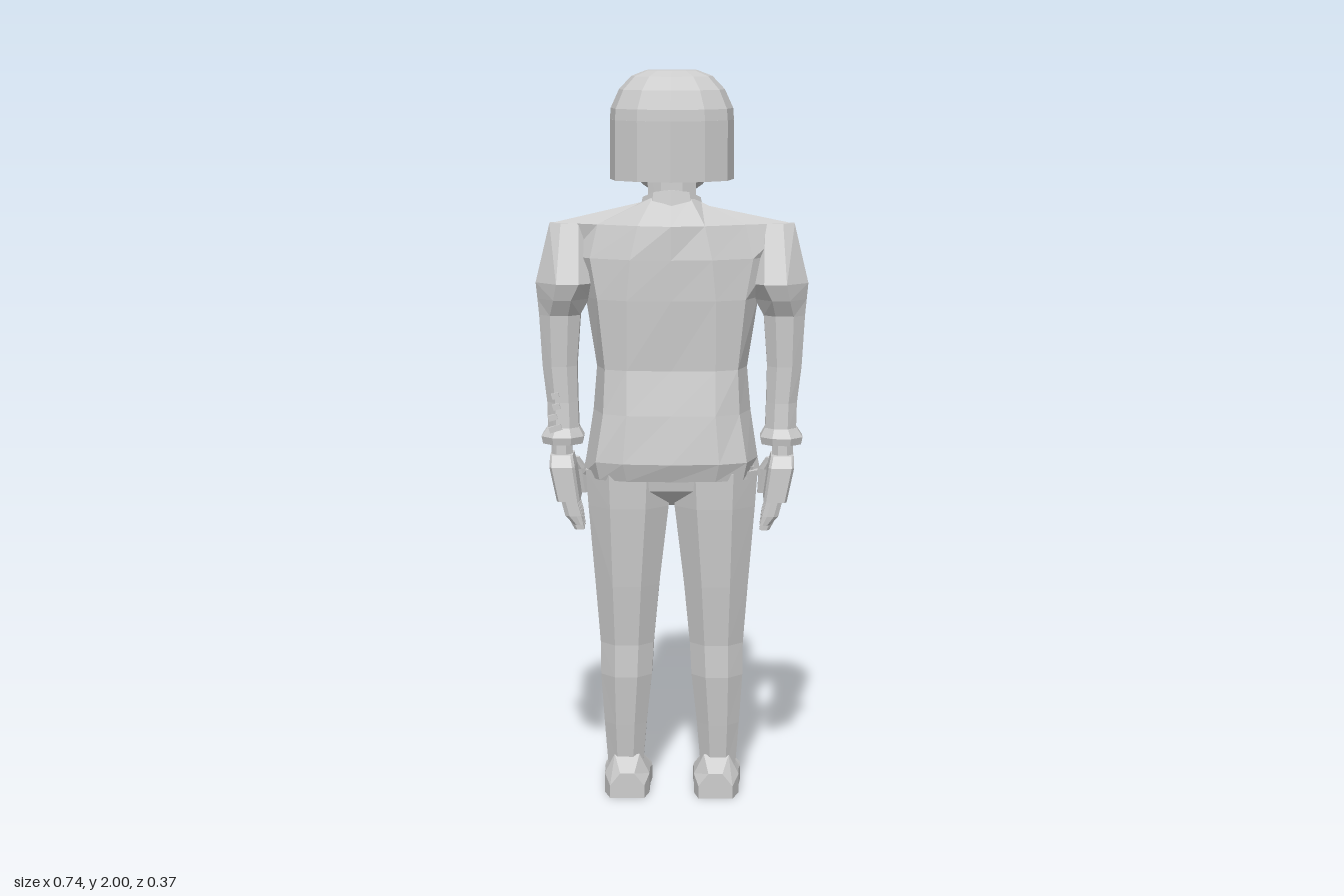
import * as THREE from 'three';

const grey = new THREE.MeshStandardMaterial({ color: 0xcccccc });
grey.name = 'matte grey';

// Skin a list of equal-length rings into a closed, faceted solid facing outward.
function loft(name, rings) {
  const P = rings.map(r => r.map(p => new THREE.Vector3(...p)));
  const tris = [], n = P[0].length;
  for (let i = 0; i < P.length - 1; i++) {
    for (let j = 0; j < n; j++) {
      const k = (j + 1) % n;
      const a = P[i][j], b = P[i][k], c = P[i + 1][k], d = P[i + 1][j];
      tris.push([a, b, c], [a, c, d]);
    }
  }
  for (const [ring, flip] of [[P[0], true], [P[P.length - 1], false]]) {
    const c = new THREE.Vector3();
    ring.forEach(p => c.addScaledVector(p, 1 / n));
    for (let j = 0; j < n; j++) {
      const a = ring[j], b = ring[(j + 1) % n];
      tris.push(flip ? [c, b, a] : [c, a, b]);
    }
  }
  let volume = 0;
  const cross = new THREE.Vector3();
  for (const [a, b, c] of tris) volume += a.dot(cross.crossVectors(b, c));
  if (volume < 0) tris.forEach(t => t.reverse());
  const g = new THREE.BufferGeometry().setFromPoints(tris.flat());
  g.computeVertexNormals();
  const mesh = new THREE.Mesh(g, grey);
  mesh.name = name;
  return mesh;
}

// Full ring from a half outline of [x, z] running back to front.
const around = half => [...half, ...half.slice(1, -1).reverse().map(([x, ...r]) => [-x, ...r])];
const level = (y, half) => around(half).map(([x, z]) => [x, y, z]);

// Chamfered rectangular ring at height y, mirrored by s.
function block(s, [y, x0, x1, z0, z1, k = 0.28]) {
  const cx = (x1 - x0) * k, cz = (z1 - z0) * k;
  return [[x0 + cx, z0], [x1 - cx, z0], [x1, z0 + cz], [x1, z1 - cz],
    [x1 - cx, z1], [x0 + cx, z1], [x0, z1 - cz], [x0, z0 + cz]].map(([x, z]) => [s * x, y, z]);
}
const blocks = (name, s, rows) => loft(name, rows.map(r => block(s, r)));

function makeTorso() {
  const g = new THREE.Group();
  g.name = 'jacket';
  g.add(loft('jacketBody', [
    level(0.90, [[0, 0.15], [0.12, 0.145], [0.195, 0.12], [0.245, 0.03], [0.2, -0.06], [0.11, -0.095], [0, -0.1]]),
    level(0.95, [[0, 0.17], [0.13, 0.16], [0.205, 0.128], [0.235, 0.03], [0.195, -0.065], [0.11, -0.105], [0, -0.112]]),
    level(1.08, [[0, 0.152], [0.12, 0.146], [0.185, 0.11], [0.215, 0.02], [0.18, -0.07], [0.1, -0.115], [0, -0.12]]),
    level(1.20, [[0, 0.13], [0.12, 0.126], [0.18, 0.1], [0.205, 0.02], [0.18, -0.07], [0.1, -0.112], [0, -0.117]]),
    level(1.39, [[0, 0.143], [0.12, 0.135], [0.2, 0.1], [0.235, 0.02], [0.2, -0.095], [0.1, -0.145], [0, -0.152]]),
    level(1.50, [[0, 0.145], [0.11, 0.135], [0.22, 0.085], [0.28, 0.02], [0.22, -0.065], [0.1, -0.115], [0, -0.125]]),
    level(1.59, [[0, 0.143], [0.09, 0.122], [0.2, 0.07], [0.325, 0.015], [0.2, -0.04], [0.09, -0.08], [0, -0.09]]),
    around([[0, 1.67, 0.1], [0.05, 1.665, 0.09], [0.08, 1.65, 0.06], [0.085, 1.64, 0.025],
      [0.08, 1.625, -0.01], [0.05, 1.615, -0.035], [0, 1.61, -0.045]]),
  ]));

  // Overlapping front panels
  const front = [[0.91, -0.1], [0.95, -0.112], [1.08, -0.12], [1.2, -0.117], [1.39, -0.152], [1.5, -0.125], [1.59, -0.09]];
  for (const [x0, x1] of [[-0.012, 0.055], [-0.05, -0.02]]) {
    g.add(loft('frontPanel', front.map(([y, z]) =>
      [[x0, y, z - 0.005], [x1, y, z - 0.003], [x1, y, z + 0.01], [x0, y, z + 0.01]])));
  }

  // Standing collar, higher at the back
  const collar = (rx, dy) => Array.from({ length: 10 }, (_, i) => {
    const a = i * Math.PI / 5, c = Math.cos(a);
    return [Math.sin(a) * rx, 1.635 + dy + c * 0.032, 0.03 + c * rx * 0.92];
  });
  g.add(loft('collar', [collar(0.092, -0.025), collar(0.082, 0.018), collar(0.07, 0.018), collar(0.07, -0.02)]));
  return g;
}

function makeArm(s) {
  const g = new THREE.Group();
  g.name = s > 0 ? 'leftArm' : 'rightArm';
  g.add(blocks('sleeve', s, [
    [1.59, 0.22, 0.332, -0.012, 0.045],
    [1.43, 0.19, 0.37, -0.085, 0.1, 0.33],
    [1.385, 0.225, 0.366, -0.075, 0.085, 0.33],
    [1.34, 0.25, 0.362, -0.048, 0.058],
    [1.2, 0.26, 0.354, -0.042, 0.05],
    [1.1, 0.258, 0.342, -0.038, 0.05],
    [1.02, 0.255, 0.34, -0.04, 0.055],
  ]));
  g.add(blocks('cuff', s, [
    [1.03, 0.255, 0.342, -0.04, 0.056],
    [1.005, 0.242, 0.358, -0.055, 0.068],
    [0.985, 0.246, 0.354, -0.05, 0.064],
  ]));
  g.add(blocks('wrist', s, [[1.0, 0.275, 0.332, -0.025, 0.04], [0.94, 0.275, 0.332, -0.028, 0.042]]));
  g.add(blocks('palm', s, [
    [0.955, 0.272, 0.334, -0.035, 0.055, 0.1],
    [0.925, 0.265, 0.335, -0.055, 0.08, 0.1],
    [0.83, 0.252, 0.315, -0.055, 0.08, 0.1],
  ]));
  [0.745, 0.74, 0.745, 0.765].forEach((tip, i) => {
    const z = -0.037 + i * 0.033;
    g.add(blocks('finger', s, [
      [0.84, 0.262, 0.305, z - 0.015, z + 0.015],
      [0.79, 0.248, 0.292, z - 0.015, z + 0.015],
      [tip, 0.242, 0.268, z - 0.011, z + 0.011],
    ]));
  });
  g.add(blocks('thumb', s, [
    [0.935, 0.26, 0.3, -0.062, -0.03],
    [0.9, 0.24, 0.288, -0.09, -0.045],
    [0.83, 0.236, 0.265, -0.09, -0.06],
  ]));
  return g;
}

function makeLeg(s) {
  const g = new THREE.Group();
  g.name = s > 0 ? 'leftLeg' : 'rightLeg';
  g.add(blocks('trouserLeg', s, [
    [0.92, 0.0, 0.235, -0.09, 0.135],
    [0.82, 0.008, 0.228, -0.085, 0.13],
    [0.6, 0.034, 0.21, -0.07, 0.11],
    [0.43, 0.05, 0.197, -0.06, 0.092],
    [0.34, 0.055, 0.196, -0.052, 0.095],
    [0.2, 0.07, 0.187, -0.04, 0.08],
    [0.08, 0.08, 0.178, -0.03, 0.065],
  ]));
  // Shoe: sections from heel to toe [z, inner x, outer x, height]
  g.add(loft('shoe', [
    [0.115, 0.075, 0.17, 0.07], [0.06, 0.062, 0.187, 0.11], [-0.02, 0.062, 0.188, 0.1],
    [-0.07, 0.058, 0.192, 0.075], [-0.14, 0.062, 0.192, 0.055], [-0.188, 0.078, 0.178, 0.036],
  ].map(([z, a, b, h]) => [[a, 0], [b, 0], [b, h * 0.5], [b - 0.028, h], [a + 0.028, h], [a, h * 0.5]]
    .map(([x, y]) => [s * x, y, z]))));
  return g;
}

function makeHead() {
  const g = new THREE.Group();
  g.name = 'head';
  g.add(blocks('neck', 1, [[1.6, -0.065, 0.065, -0.03, 0.065], [1.76, -0.065, 0.065, -0.03, 0.06]]));
  g.add(loft('face', [
    level(1.66, [[0, -0.06], [0.03, -0.065], [0.042, -0.09], [0.025, -0.108], [0, -0.11]]),
    level(1.69, [[0, 0.0], [0.07, -0.01], [0.082, -0.055], [0.042, -0.108], [0, -0.117]]),
    level(1.725, [[0, 0.08], [0.1, 0.05], [0.105, -0.04], [0.055, -0.103], [0, -0.115]]),
    level(1.78, [[0, 0.1], [0.12, 0.06], [0.122, -0.04], [0.075, -0.105], [0, -0.122]]),
    level(1.815, [[0, 0.1], [0.125, 0.06], [0.125, -0.045], [0.08, -0.1], [0, -0.12]]),
    level(1.84, [[0, 0.1], [0.125, 0.06], [0.125, -0.05], [0.08, -0.115], [0, -0.132]]),
    level(1.9, [[0, 0.1], [0.12, 0.06], [0.12, -0.05], [0.075, -0.11], [0, -0.126]]),
  ]));
  // Nose and lips
  g.add(loft('nose', [[1.83, 0.01, -0.128], [1.772, 0.02, -0.15], [1.757, 0.022, -0.135]]
    .map(([y, w, z]) => [[-w, y, -0.105], [w, y, -0.105], [w * 0.4, y, z], [-w * 0.4, y, z]])));
  for (const [y, z] of [[1.728, -0.124], [1.711, -0.122]]) {
    g.add(loft('lip', [[-0.04, -0.105, 0.002], [0, z, 0.008], [0.04, -0.105, 0.002]]
      .map(([x, d, h]) => [[x, y - h, d + 0.015], [x, y + h, d + 0.015], [x, y, d - 0.005]])));
  }
  // Brows and eyes
  for (const s of [1, -1]) {
    for (const [name, y, h, d] of [['brow', 1.842, 0.008, 0.006], ['eye', 1.812, 0.008, 0.004]]) {
      g.add(loft(name, [[0.02, -0.118], [0.048, -0.112], [0.078, -0.1]]
        .map(([x, z]) => [[s * x, y - h, z + 0.01], [s * x, y + h, z + 0.01], [s * x, y + h * 0.5, z - d], [s * x, y - h * 0.5, z - d]])));
    }
  }

  // Hair: a curtain round the sides and back, closed by a faceted cap
  const half = [[0, 0.185], [0.09, 0.157], [0.15, 0.11], [0.167, 0.03], [0.16, -0.05], [0.145, -0.1]];
  const curtain = [...half.slice(1).reverse(), ...half.map(([x, z]) => [-x, z])];
  g.add(loft('hairSides', curtain.map(([x, z]) => {
    const pull = z < -0.09 ? 0.018 : 0;
    return [[x, 1.71, z + pull], [x, 1.87, z - pull], [x * 0.8, 1.87, z * 0.8], [x * 0.83, 1.715, z * 0.83 + pull]];
  })));
  const crown = [...half.slice(0, 5), [0.143, -0.11], [0.085, -0.136], [0, -0.142]];
  g.add(loft('hairCap', [[1.865, 1, 0], [1.9, 0.985, 0], [1.95, 0.85, 0.006], [1.985, 0.65, 0.014], [2.0, 0.42, 0.02]]
    .map(([y, k, dz]) => level(y, crown.map(([x, z]) => [x * k, z * k + dz])))));
  return g;
}

export function createModel() {
  const model = new THREE.Group();
  model.name = 'standingFigure';
  model.add(makeTorso(), makeHead());
  model.add(blocks('hips', 1, [
    [0.82, -0.06, 0.06, -0.03, 0.06], [0.87, -0.2, 0.2, -0.085, 0.125], [0.93, -0.225, 0.225, -0.09, 0.135],
  ]));
  for (const s of [1, -1]) model.add(makeArm(s), makeLeg(s));

  // Small buckles on one sleeve
  for (const [y, x, z, w] of [[1.03, 0.318, 0.052, 0.035], [1.06, 0.325, 0.048, 0.025], [1.09, 0.315, 0.05, 0.02], [1.12, 0.318, 0.048, 0.02],
    [1.04, 0.3, -0.042, 0.03], [1.08, 0.3, -0.04, 0.022]]) {
    const buckle = new THREE.Mesh(new THREE.BoxGeometry(w, 0.016, 0.016), grey);
    buckle.name = 'sleeveBuckle';
    buckle.position.set(-x, y, z);
    buckle.rotation.z = 0.3;
    model.add(buckle);
  }
  return model;
}
